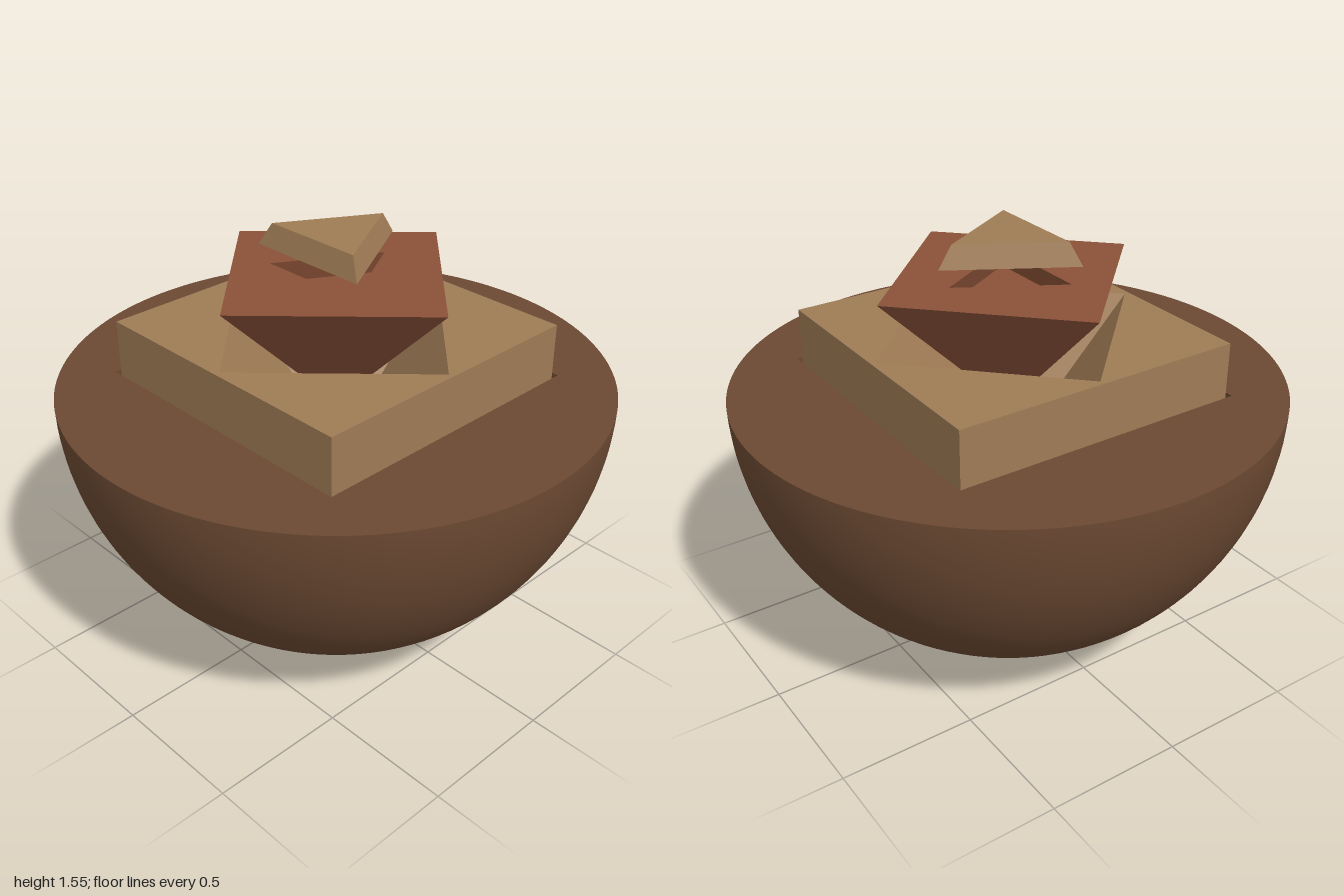
import * as THREE from 'three';

const walnut = new THREE.MeshStandardMaterial({ color: 0x6b4932 });
walnut.name = 'walnut brown';
const oak = new THREE.MeshStandardMaterial({ color: 0x9f7b55 });
oak.name = 'oak tan';
const cherry = new THREE.MeshStandardMaterial({ color: 0x8b5238 });
cherry.name = 'cherry red';

// Flat-sided surface through [radius, y] rings; rising profiles face outward,
// falling profiles face inward (pockets).
function loft(sides, start, rings) {
  const at = ([r, y], i) => {
    const a = start + (i / sides) * Math.PI * 2;
    return [r * Math.sin(a), y, r * Math.cos(a)];
  };
  const pos = [];
  for (let k = 0; k < rings.length - 1; k++) {
    const [lo, hi] = [rings[k], rings[k + 1]];
    for (let i = 0; i < sides; i++) {
      if (lo[0] > 0) pos.push(...at(lo, i), ...at(lo, i + 1), ...at(hi, i + 1));
      if (hi[0] > 0) pos.push(...at(lo, i), ...at(hi, i + 1), ...at(hi, i));
    }
  }
  const geo = new THREE.BufferGeometry();
  geo.setAttribute('position', new THREE.Float32BufferAttribute(pos, 3));
  geo.computeVertexNormals();
  return geo;
}

// Corner points of a regular polygon, in the same order as loft
function polygon(sides, start, r) {
  return Array.from({ length: sides }, (_, i) => {
    const a = start + (i / sides) * Math.PI * 2;
    return new THREE.Vector2(r * Math.sin(a), -r * Math.cos(a));
  });
}

// Horizontal face with a polygonal opening
function rimFace(shape, hole, y) {
  shape.holes.push(new THREE.Path(hole));
  return new THREE.ShapeGeometry(shape, 96).rotateX(-Math.PI / 2).translate(0, y, 0);
}

export function createModel() {
  const model = new THREE.Group();
  const add = (parent, name, geo, mat) => {
    const mesh = new THREE.Mesh(geo, mat);
    mesh.name = name;
    parent.add(mesh);
  };
  const part = (name) => {
    const g = new THREE.Group();
    g.name = name;
    model.add(g);
    return g;
  };
  const SQ = Math.SQRT2, Q = Math.PI / 4, H = Math.PI / 2;

  // Half sphere with a square pocket
  const bowl = part('halfSphere');
  add(bowl, 'sphereShell',
    new THREE.SphereGeometry(1, 96, 32, 0, Math.PI * 2, H, H).translate(0, 1, 0), walnut);
  const disc = new THREE.Shape().absarc(0, 0, 1, 0, Math.PI * 2);
  add(bowl, 'sphereRim', rimFace(disc, polygon(4, Q, 0.565 * SQ), 1), walnut);
  add(bowl, 'squarePocket', loft(4, Q, [[0.565 * SQ, 1], [0.565 * SQ, 0.435], [0, 0.435]]), walnut);

  // Half cube with a pyramidal pocket
  const cube = part('halfCube');
  add(cube, 'cubeSides', loft(4, Q, [[0, 0.65], [0.55 * SQ, 0.65], [0.55 * SQ, 1.2]]), oak);
  add(cube, 'cubeRim', rimFace(new THREE.Shape(polygon(4, Q, 0.55 * SQ)), polygon(4, 0, 0.53), 1.2), oak);
  add(cube, 'pyramidPocket', loft(4, 0, [[0.53, 1.2], [0, 0.67]]), oak);

  // Half octahedron with an undercut triangular pocket
  const octa = part('halfOctahedron');
  add(octa, 'octahedronSides', loft(4, 0, [[0, 0.885], [0.515, 1.4]]), cherry);
  add(octa, 'octahedronRim', rimFace(new THREE.Shape(polygon(4, 0, 0.515)), polygon(3, H, 0.24), 1.4), cherry);
  add(octa, 'trianglePocket', loft(3, H, [[0.24, 1.4], [0.295, 1.315], [0, 1.315]]), cherry);

  // Floating slice of a tetrahedron
  add(model, 'tetrahedronSlice',
    loft(3, H, [[0, 1.47], [0.28, 1.47], [0.228, 1.55], [0, 1.55]]), oak);

  return model;
}
